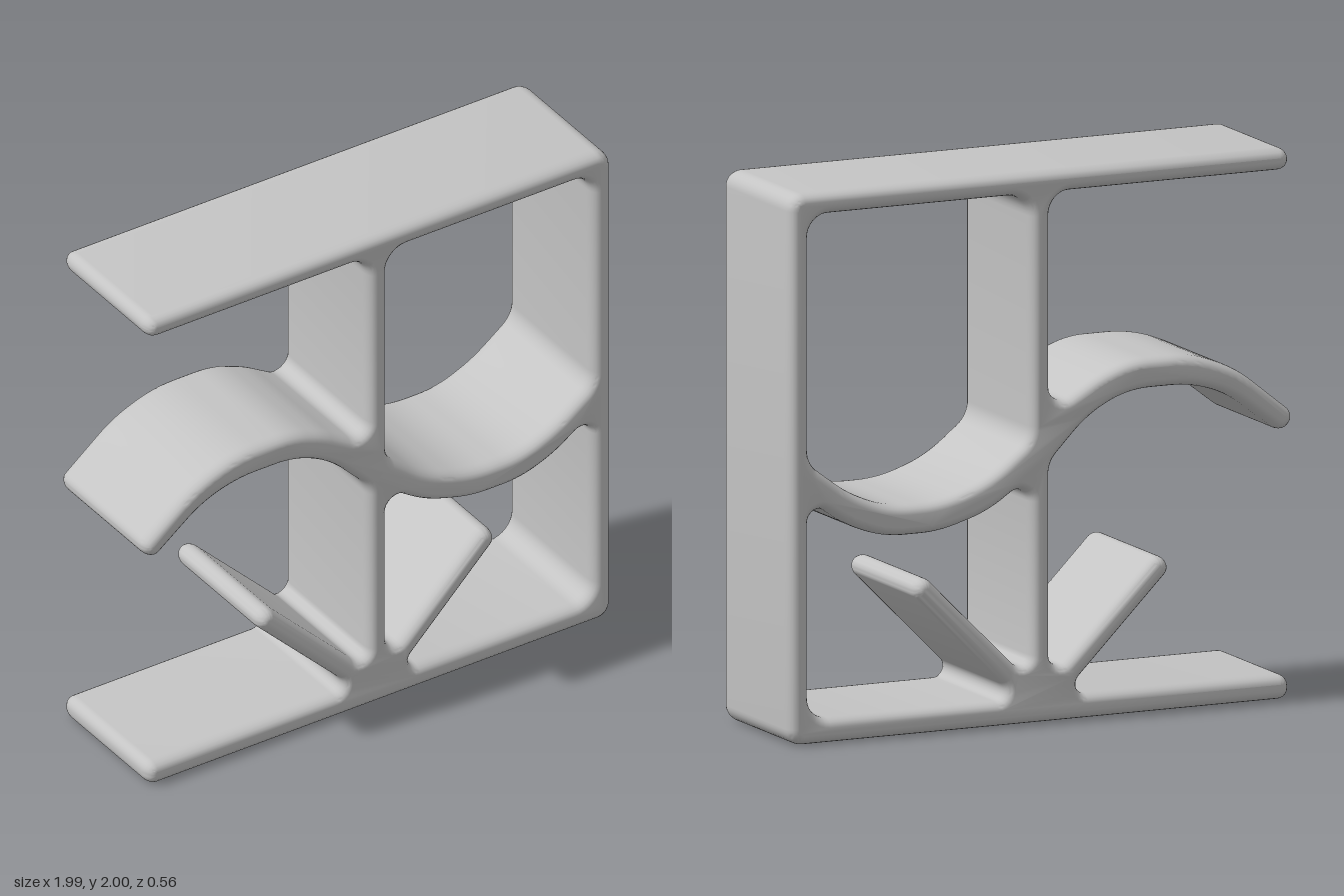
import * as THREE from 'three';
import { toCreasedNormals } from 'three/addons/utils/BufferGeometryUtils.js';

// Closed outline through [x, y, radius] corners, each rounded by a true arc
function roundedOutline(path, corners) {
  const n = corners.length;
  corners.forEach(([x, y, radius], i) => {
    const [px, py] = corners[(i + n - 1) % n];
    const [nx, ny] = corners[(i + 1) % n];
    const p = new THREE.Vector2(x, y);
    const a = new THREE.Vector2(px - x, py - y);
    const b = new THREE.Vector2(nx - x, ny - y);
    const limit = 0.495 * Math.min(a.length(), b.length());
    a.normalize();
    b.normalize();
    const half = Math.acos(THREE.MathUtils.clamp(a.dot(b), -1, 1)) / 2;
    const t = Math.min(radius / Math.tan(half), limit);
    const r = t * Math.tan(half);
    const c = a.clone().add(b).normalize().multiplyScalar(t / Math.cos(half)).add(p);
    const start = a.clone().multiplyScalar(t).add(p).sub(c).angle();
    const end = b.clone().multiplyScalar(t).add(p).sub(c).angle();
    path.absarc(c.x, c.y, r, start, end, a.cross(b) > 0);
  });
  path.closePath();
  return path;
}

const END = 0.04;     // rounded bar ends
const FILLET = 0.08;  // inner corners
const ACUTE = 0.037;  // roots of the slanted plates
const WAVE = 0.5;     // wave bends

export function createModel() {
  const grey = new THREE.MeshStandardMaterial({ color: 0xc4c4c4 });
  grey.name = 'grey';

  const outline = roundedOutline(new THREE.Shape(), [
    // top shelf, left end and underside
    [-0.99, 2, END], [-0.99, 1.92, END], [-0.045, 1.92, FILLET],
    // crest of the wave, upper side
    [-0.045, 1.125, 0.05], [-0.23, 1.235, WAVE], [-0.36, 1.285, WAVE],
    [-0.61, 1.285, WAVE], [-0.79, 1.215, WAVE], [-1.02, 1.03, END],
    // crest of the wave, underside
    [-0.965, 0.965, END], [-0.75, 1.13, WAVE], [-0.6, 1.175, WAVE],
    [-0.36, 1.175, WAVE], [-0.2, 1.1, WAVE], [-0.045, 0.94, 0.1],
    // left slanted plate
    [-0.045, 0.15, ACUTE], [-0.4725, 0.5775, END], [-0.53, 0.52, END], [-0.1, 0.09, ACUTE],
    // bottom shelf and outer wall
    [-0.99, 0.09, END], [-0.99, 0, END], [0.99, 0, 0.06], [0.99, 2, 0.06],
  ]);

  // Upper opening, closed below by the trough of the wave
  const upperOpening = roundedOutline(new THREE.Path(), [
    [0.035, 1.92, FILLET], [0.91, 1.92, FILLET], [0.91, 1.02, 0.1],
    [0.75, 0.9, WAVE], [0.6, 0.835, WAVE], [0.39, 0.835, WAVE],
    [0.2, 0.9, WAVE], [0.035, 1.03, 0.1],
  ]);

  // Lower opening, with the right slanted plate standing in it
  const lowerOpening = roundedOutline(new THREE.Path(), [
    [0.035, 0.89, 0.045], [0.2, 0.78, WAVE], [0.39, 0.725, WAVE],
    [0.605, 0.725, WAVE], [0.75, 0.78, WAVE], [0.91, 0.89, 0.045],
    [0.91, 0.09, FILLET], [0.08, 0.09, ACUTE], [0.51, 0.52, END],
    [0.4525, 0.5775, END], [0.035, 0.16, ACUTE],
  ]);

  outline.holes.push(upperOpening, lowerOpening);

  // One fused body with softly rounded front and back rims
  const extruded = new THREE.ExtrudeGeometry(outline, {
    depth: 0.46, curveSegments: 4, bevelEnabled: true, bevelSegments: 5,
    bevelThickness: 0.05, bevelSize: 0.032, bevelOffset: -0.032,
  });
  extruded.translate(0, 0, -0.23);

  const shelf = new THREE.Mesh(toCreasedNormals(extruded, 0.7), grey);
  shelf.name = 'shelfBody';

  const model = new THREE.Group();
  model.name = 'waveShelf';
  model.add(shelf);
  return model;
}
